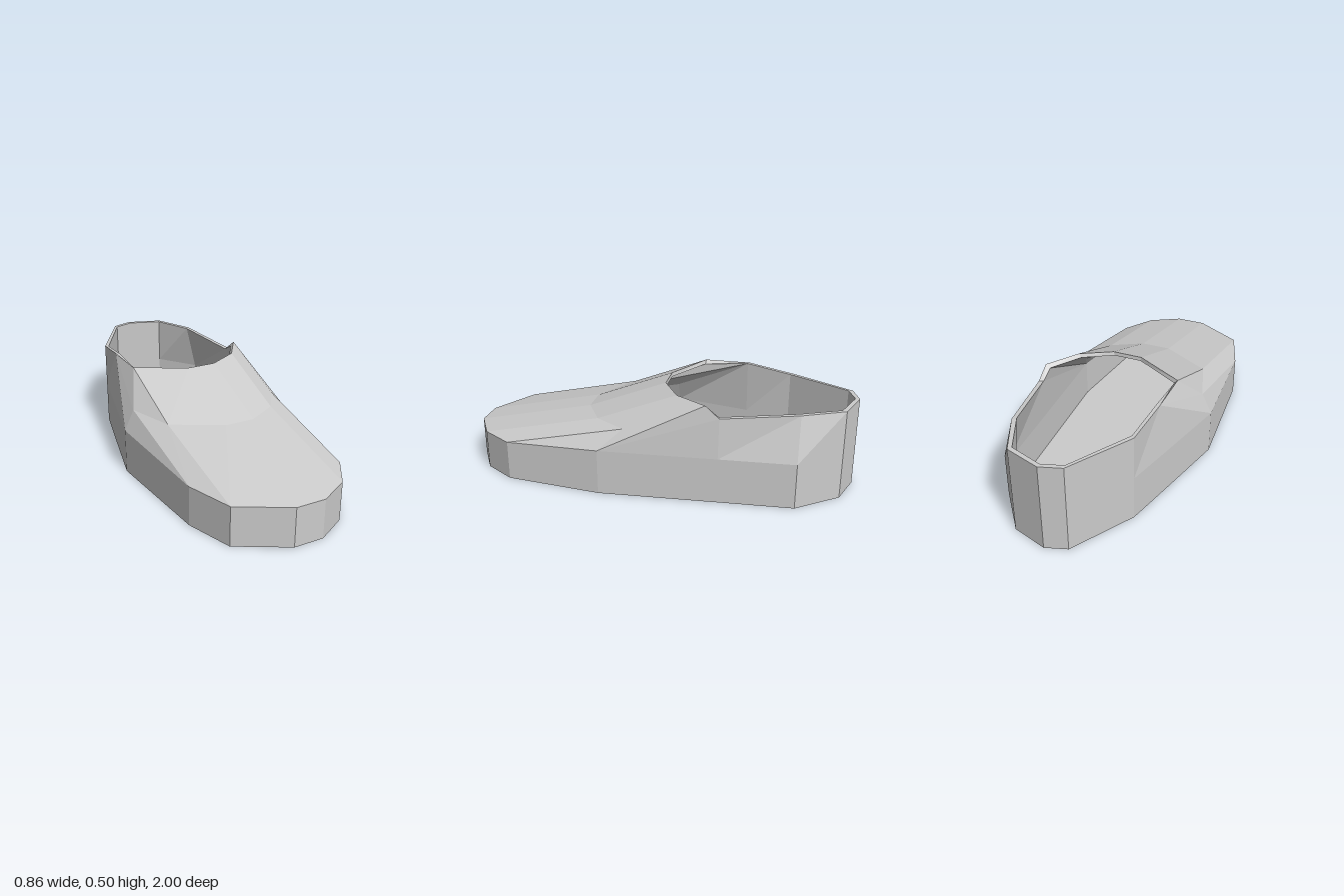
import * as THREE from 'three';

const material = new THREE.MeshStandardMaterial({ color: 0xcccccc, flatShading: true, side: THREE.DoubleSide });

// Builds a mesh from convex polygons, each a list of [x, y, z] corners.
function polygonMesh(name, polygons) {
  const pos = [];
  for (const p of polygons)
    for (let i = 1; i < p.length - 1; i++) pos.push(...p[0], ...p[i], ...p[i + 1]);
  const g = new THREE.BufferGeometry();
  g.setAttribute('position', new THREE.Float32BufferAttribute(pos, 3));
  g.computeVertexNormals();
  const mesh = new THREE.Mesh(g, material);
  mesh.name = name;
  return mesh;
}

export function createModel() {
  const group = new THREE.Group();
  group.name = 'slipper';

  // Sole outline (x, z), from the toe round the left side and the heel
  const outline = [
    [-0.05, 1], [0.105, 1], [0.265, 0.91], [0.37, 0.75], [0.428, 0.25],
    [0.392, -0.35], [0.37, -0.73], [0.21, -0.94], [0.03, -1], [-0.08, -0.965],
    [-0.27, -0.65], [-0.33, -0.41], [-0.43, 0], [-0.38, 0.62], [-0.3, 0.86],
  ];
  const n = outline.length;
  const S = outline.map(([x, z]) => [x, 0, z]);
  const M = outline.map(([x, z]) => [x, z > 0.5 ? 0.205 : 0.235, z]);

  // Collar corners from the left side round the heel to the right side
  const collar = [
    [0.375, 0.44, -0.35], [0.31, 0.465, -0.73], [0.21, 0.465, -0.94], [0.03, 0.465, -1],
    [-0.08, 0.465, -0.965], [-0.27, 0.465, -0.65], [-0.3, 0.5, -0.41],
  ];

  // Instep: three rows of the toe outline, each higher and further back
  const toe = [13, 14, 0, 1, 2, 3].map((i) => M[i]);
  const mid = toe.map(([x, , z]) => [x, 0.34, z - 0.62]);
  const tongue = toe.map(([x, , z]) => [x, 0.5, z - 1.03]);
  tongue[0] = collar[6];

  const walls = [], instep = [];
  for (let i = 0; i < n; i++) {
    const k = (i + 1) % n;
    walls.push([S[i], S[k], M[k], M[i]]);
  }
  for (let i = 0; i < 6; i++) walls.push([M[i + 5], M[i + 6], collar[i + 1], collar[i]]);
  // Sloping side panels between the walls and the instep
  walls.push([M[3], M[4], mid[5]], [M[4], M[5], collar[0]],
    [M[4], collar[0], tongue[5]], [M[4], tongue[5], mid[5]],
    [M[11], M[12], collar[6]], [M[12], mid[0], collar[6]], [M[12], M[13], mid[0]]);
  for (let j = 0; j < 5; j++) {
    instep.push([toe[j], toe[j + 1], mid[j + 1], mid[j]]);
    instep.push([mid[j], mid[j + 1], tongue[j + 1], tongue[j]]);
  }
  const sole = [[...S].reverse()];

  // Lining: the same shell drawn inwards
  const inner = (p) => {
    const [x, y, z] = p;
    const drop = collar.includes(p) ? 0 : 0.02;
    return [x * 0.94, y === 0 ? 0.02 : y - drop, (z + 0.1) * 0.975 - 0.1];
  };
  const lining = [...walls, ...instep, ...sole].map((p) => p.map(inner).reverse());

  // Rim of the opening joins shell and lining
  const loop = [...tongue, ...collar.slice(0, 6)];
  const rim = loop.map((a, i) => {
    const b = loop[(i + 1) % loop.length];
    return [a, b, inner(b), inner(a)];
  });

  group.add(polygonMesh('sideWalls', walls), polygonMesh('instep', instep),
    polygonMesh('sole', sole), polygonMesh('lining', lining), polygonMesh('openingRim', rim));
  return group;
}
